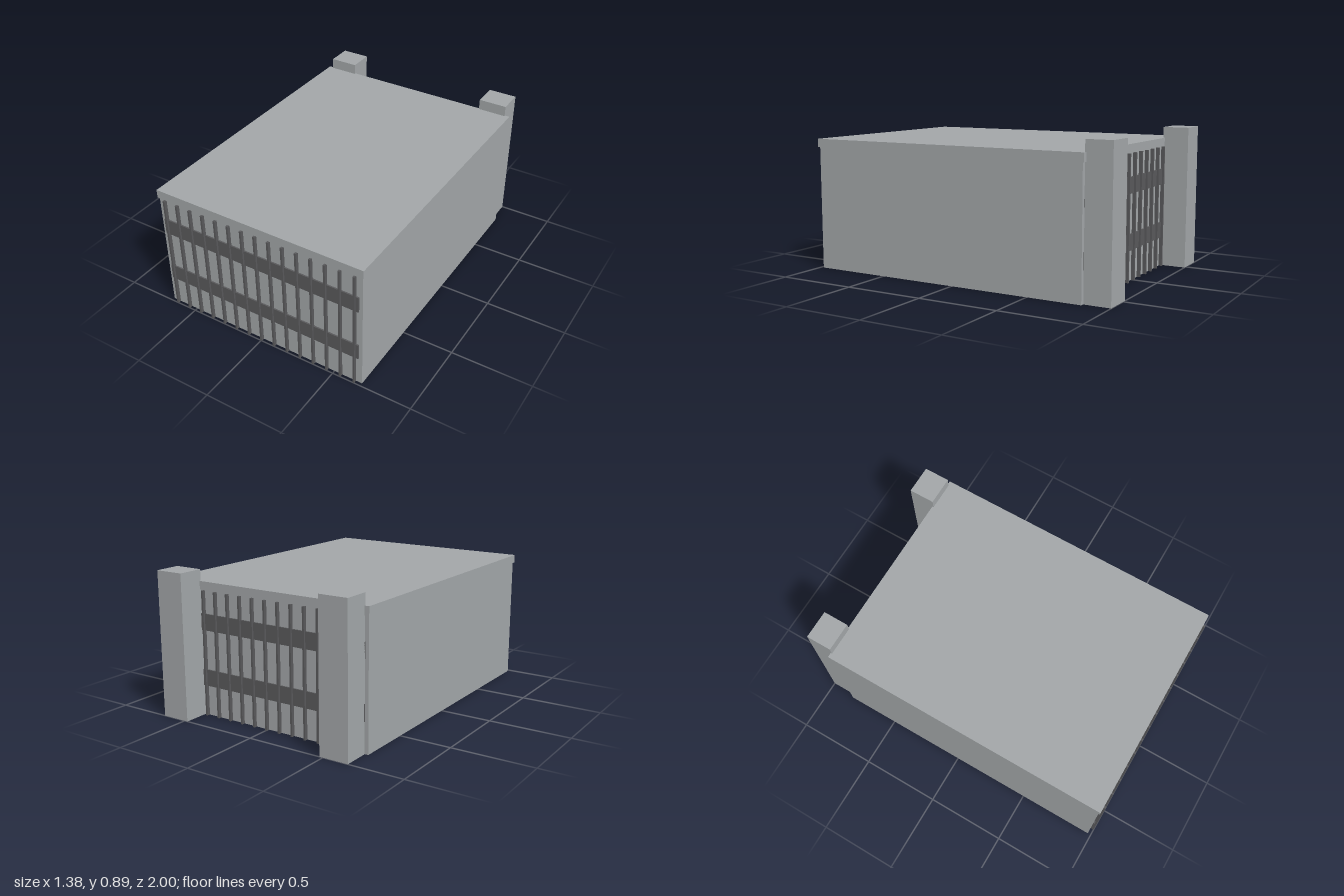
import * as THREE from 'three';

export function createModel() {
  const model = new THREE.Group();
  model.name = 'building';

  const concrete = new THREE.MeshStandardMaterial({ color: 0xa2a6a8 });
  concrete.name = 'concrete grey';
  const dark = new THREE.MeshStandardMaterial({ color: 0x59595b });
  dark.name = 'dark grey';

  // Box given by its minimum and maximum on each axis
  function box(name, material, [x0, x1], [y0, y1], [z0, z1]) {
    const mesh = new THREE.Mesh(new THREE.BoxGeometry(x1 - x0, y1 - y0, z1 - z0), material);
    mesh.position.set((x0 + x1) / 2, (y0 + y1) / 2, (z0 + z1) / 2);
    mesh.name = name;
    model.add(mesh);
  }

  // Main block and overhanging roof slab
  box('mainBlock', concrete, [-0.682, 0.682], [0, 0.768], [-0.836, 0.979]);
  box('roofSlab', concrete, [-0.69, 0.69], [0.768, 0.82], [-0.847, 0.988]);

  // Stair towers at the rear corners
  box('leftTower', concrete, [0.478, 0.66], [0, 0.888], [-1, -0.838]);
  box('rightTower', concrete, [-0.66, -0.478], [0, 0.888], [-1, -0.838]);

  // Window bands and vertical fins on the front and rear walls
  const faces = [
    { side: 'front', band: [0.979, 0.988], fin: [0.979, 1] },
    { side: 'rear', band: [-0.845, -0.836], fin: [-0.857, -0.836] },
  ];
  for (const { side, band, fin } of faces) {
    for (const y of [0.185, 0.526]) {
      box(side + 'WindowBand', dark, [-0.66, 0.66], [y, y + 0.1], band);
    }
    for (let i = -7; i <= 7; i++) {
      const x = i * 0.091;
      // Rear fins stand only between the towers
      if (side === 'rear' && Math.abs(x) > 0.47) continue;
      box(side + 'Fin', dark, [x - 0.006, x + 0.006], [0, 0.766], fin);
    }
  }
  return model;
}
